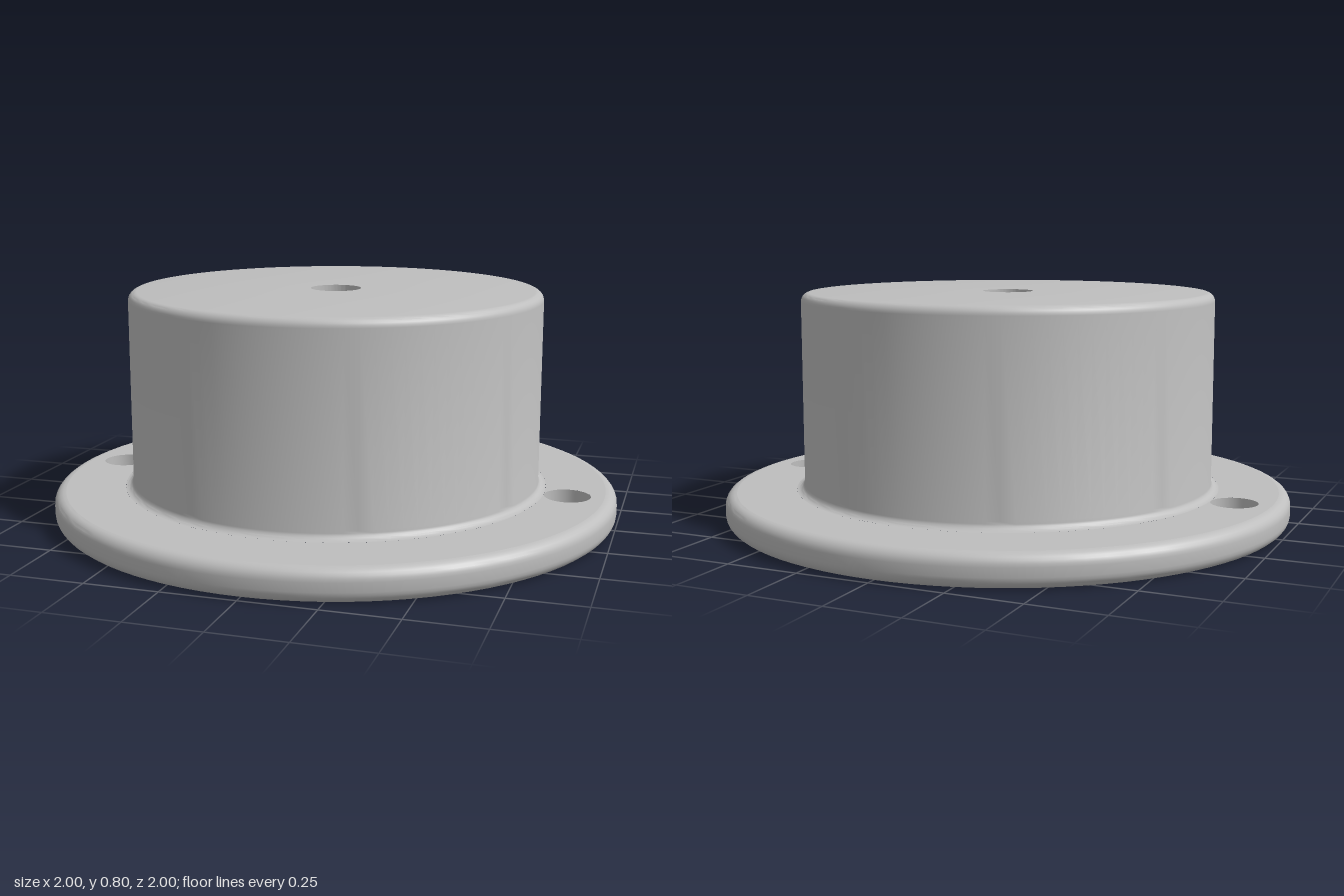
import * as THREE from 'three';
import { toCreasedNormals } from 'three/addons/utils/BufferGeometryUtils.js';

const SEG = 96;
const FLANGE_TOP = 0.11, BODY_R = 0.725, BODY_TOP = 0.8, FILLET = 0.028, ROUND = 0.04;
const BORE_R = 0.374, CAVITY_R = 0.4, LIP_Y = 0.2, CAVITY_TOP = 0.62, SHAFT_R = 0.088;
const BOLT_X = 0.834, BOLT_R = 0.08;

// Points along a quarter arc in the (radius, height) plane
function arc(cx, cy, r, from, to, steps = 6) {
  return Array.from({ length: steps + 1 }, (_, i) => {
    const a = THREE.MathUtils.degToRad(from + ((to - from) * i) / steps);
    return [cx + r * Math.cos(a), cy + r * Math.sin(a)];
  });
}

export function createModel() {
  const group = new THREE.Group();
  const metal = new THREE.MeshStandardMaterial({ color: 0xbebebe });

  const add = (name, geometry) => {
    const mesh = new THREE.Mesh(geometry, metal);
    mesh.name = name;
    group.add(mesh);
    return mesh;
  };
  const lathe = (name, points, segments = SEG) =>
    add(name, toCreasedNormals(
      new THREE.LatheGeometry(points.map(([r, y]) => new THREE.Vector2(r, y)), segments), 0.5));

  // Flat ring pierced by the two bolt holes
  const flangeFace = (name, outer, inner, y, facing) => {
    const shape = new THREE.Shape().absarc(0, 0, outer, 0, Math.PI * 2, false);
    const cut = (x, r) => shape.holes.push(new THREE.Path().absarc(x, 0, r, 0, Math.PI * 2, true));
    cut(0, inner);
    for (const side of [-1, 1]) cut(side * BOLT_X, BOLT_R);
    const mesh = add(name, new THREE.ShapeGeometry(shape, SEG));
    mesh.rotation.x = (-facing * Math.PI) / 2;
    mesh.position.y = y;
  };

  // Flange: rounded rim, top and bottom faces
  lathe('flangeRim', [
    ...arc(1 - ROUND, ROUND, ROUND, -90, 0),
    ...arc(1 - ROUND, FLANGE_TOP - ROUND, ROUND, 0, 90),
  ]);
  flangeFace('flangeTop', 1 - ROUND, BODY_R + FILLET, FLANGE_TOP, 1);
  flangeFace('flangeBottom', 1 - ROUND, BORE_R, 0, -1);

  // Bolt hole walls, facing inward
  for (const side of [-1, 1]) {
    lathe(side > 0 ? 'leftBoltHole' : 'rightBoltHole',
      [[BOLT_R, FLANGE_TOP], [BOLT_R, 0]], 48).position.x = side * BOLT_X;
  }

  // Drum body: base fillet, side, rounded shoulder and top
  const shoulder = 0.03;
  lathe('drumBody', [
    ...arc(BODY_R + FILLET, FLANGE_TOP + FILLET, FILLET, -90, -180),
    ...arc(BODY_R - shoulder, BODY_TOP - shoulder, shoulder, 0, 90),
    [SHAFT_R, BODY_TOP],
  ]);

  // Shaft hole, undercut cavity and entry bore
  lathe('innerBore', [
    [SHAFT_R, BODY_TOP], [SHAFT_R, CAVITY_TOP],
    [CAVITY_R, CAVITY_TOP], [CAVITY_R, LIP_Y],
    [BORE_R, LIP_Y], [BORE_R, 0],
  ]);

  return group;
}
